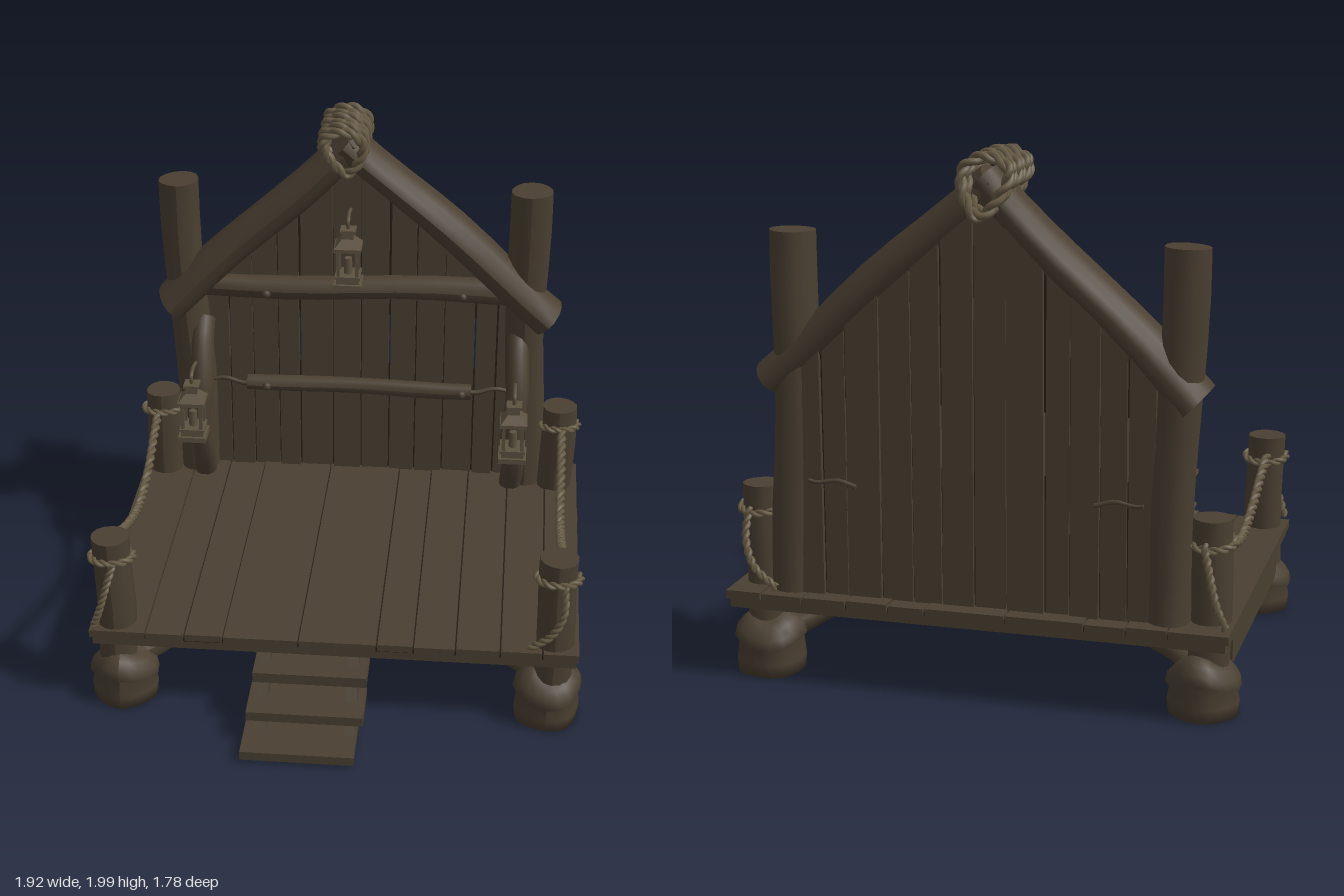
import * as THREE from 'three';

const mat = (name, color) => {
  const m = new THREE.MeshStandardMaterial({ color });
  m.name = name;
  return m;
};
const wood = mat('weathered wood', 0x4a3f31);
const crack = mat('dark seam', 0x261f17);
const ropeMat = mat('rope', 0x665a44);
const metal = mat('lantern metal', 0x5c513f);
const V = (x, y, z) => new THREE.Vector3(x, y, z);

export function createModel() {
  const model = new THREE.Group();
  model.name = 'gabledPlatform';

  const add = (name, geo, material = wood, parent = model) => {
    const mesh = new THREE.Mesh(geo, material);
    mesh.name = name;
    parent.add(mesh);
    return mesh;
  };
  const box = (name, x0, x1, y0, y1, z0, z1, material = wood, parent = model) => {
    const geo = new THREE.BoxGeometry(x1 - x0, y1 - y0, z1 - z0);
    geo.translate((x0 + x1) / 2, (y0 + y1) / 2, (z0 + z1) / 2);
    return add(name, geo, material, parent);
  };

  // Uneven log between two points; the cross-section can be deepened in z
  let seed = 0;
  const log = (name, a, b, ra, rb, { depth = 1, bend = 0.008, lump = 0.05 } = {}) => {
    seed += 1.7;
    const len = a.distanceTo(b);
    const geo = new THREE.CylinderGeometry(rb, ra, len, 14, 8);
    const p = geo.attributes.position;
    for (let i = 0; i < p.count; i++) {
      const x = p.getX(i), y = p.getY(i), z = p.getZ(i);
      const t = y / len;
      const k = 1 + lump * Math.sin(3 * Math.atan2(z, x) + seed + t * 4) + lump * 0.6 * Math.sin(t * 11 + seed);
      p.setXYZ(i, x * k + bend * Math.sin(t * 7 + seed), y, z * k * depth);
    }
    geo.computeVertexNormals();
    const mesh = add(name, geo);
    mesh.position.copy(a).add(b).multiplyScalar(0.5);
    mesh.quaternion.setFromUnitVectors(V(0, 1, 0), b.clone().sub(a).normalize());
    return mesh;
  };

  // Two strands twisted around a path
  const rope = (name, points, { r = 0.011, turns = 8, closed = false, segs = 64 } = {}) => {
    const path = new THREE.CatmullRomCurve3(points, closed);
    const frames = path.computeFrenetFrames(segs, closed);
    const group = new THREE.Group();
    group.name = name;
    for (let s = 0; s < 2; s++) {
      const pts = [];
      for (let i = 0; i <= segs - (closed ? 1 : 0); i++) {
        const ang = (i / segs) * turns * Math.PI * 2 + s * Math.PI;
        pts.push(path.getPointAt(i / segs)
          .addScaledVector(frames.normals[i], Math.cos(ang) * r * 0.8)
          .addScaledVector(frames.binormals[i], Math.sin(ang) * r * 0.8));
      }
      const strand = new THREE.CatmullRomCurve3(pts, closed);
      add('strand', new THREE.TubeGeometry(strand, segs * 2, r, 6, closed), ropeMat, group);
    }
    model.add(group);
  };

  // Deck: under-frame, planks with seams, and side beams
  box('deckFrame', -0.925, 0.925, 0.28, 0.312, -0.85, 0.57);
  box('deckSeams', -0.93, 0.93, 0.312, 0.33, -0.85, 0.57, crack);
  const deckX = [-0.94, -0.72, -0.57, -0.42, -0.13, 0.17, 0.31, 0.47, 0.64, 0.8, 0.94];
  for (let i = 0; i < deckX.length - 1; i++) {
    const dz = 0.006 * Math.sin(i * 2.3);
    box('deckPlank', deckX[i] + 0.003, deckX[i + 1] - 0.003, 0.314, 0.344 + dz * 0.4, -0.86, 0.576 + dz);
  }
  for (const s of [-1, 1]) {
    const c = s * 0.885;
    box('sideBeam', c - 0.025, c + 0.025, 0.15, 0.285, -0.6, 0.42);
  }

  // Corner posts on lumpy stumps, with braces towards the middle
  const stump = [[0, 0], [0.122, 0], [0.126, 0.05], [0.118, 0.105], [0.132, 0.125], [0.126, 0.16], [0.1, 0.19], [0.07, 0.215], [0, 0.22]];
  for (const s of [-1, 1]) {
    for (const [z, dir] of [[0.48, -1], [-0.705, 1]]) {
      const geo = new THREE.LatheGeometry(stump.map(([x, y]) => new THREE.Vector2(x, y)), 18);
      const p = geo.attributes.position;
      for (let i = 0; i < p.count; i++) {
        const a = Math.atan2(p.getZ(i), p.getX(i));
        const k = 1 + 0.04 * Math.sin(a * 4 + s + z * 5);
        const lift = p.getY(i) > 0.08 ? 0.018 * Math.sin(a * 2 + s * 2) : 0;
        p.setXYZ(i, p.getX(i) * k, p.getY(i) + lift, p.getZ(i) * k);
      }
      geo.computeVertexNormals();
      add('stump', geo).position.set(s * 0.825, 0, z);
      log('cornerPost', V(s * 0.84, 0.1, z + 0.01), V(s * 0.847, 0.722, z + 0.01), 0.074, 0.073, { bend: 0.003, lump: 0.025 });
      log('brace', V(s * 0.8, 0.15, z + dir * 0.02), V(s * 0.43, 0.285, z + dir * 0.24), 0.045, 0.035);
    }
  }

  // Steps on two slanted stringers
  const treads = [
    [-0.32, 0.11, 0.012, 0.048, 0.65, 0.89],
    [-0.31, 0.135, 0.105, 0.143, 0.57, 0.77],
    [-0.295, 0.14, 0.208, 0.25, 0.5, 0.665],
  ];
  for (const t of treads) box('stepTread', ...t);
  const side = new THREE.Shape([[0.67, 0], [0.78, 0.015], [0.6, 0.24], [0.56, 0.29], [0.46, 0.29]].map(([z, y]) => new THREE.Vector2(-z, y)));
  for (const x of [-0.28, 0.06]) {
    const geo = new THREE.ExtrudeGeometry(side, { depth: 0.045, bevelEnabled: false });
    geo.rotateY(Math.PI / 2);
    add('stepStringer', geo).position.x = x;
  }

  // Back wall: vertical planks cut to the gable slope
  const gable = x => 1.87 - Math.abs(x + 0.04) * 0.93;
  const wallX = [-0.66, -0.56, -0.46, -0.35, -0.26, -0.12, 0.0, 0.12, 0.23, 0.35, 0.48, 0.57, 0.66];
  for (let i = 0; i < wallX.length - 1; i++) {
    const a = wallX[i] + 0.003, b = wallX[i + 1] - 0.003;
    const w = 0.003 * Math.sin(i * 1.9);
    const pts = [[a, 0.33], [b, 0.33], [b + w, gable(b)]];
    if (a < -0.04 && b > -0.04) pts.push([-0.04, gable(-0.04)]);
    pts.push([a + w, gable(a)]);
    const geo = new THREE.ExtrudeGeometry(new THREE.Shape(pts.map(q => new THREE.Vector2(...q))), { depth: 0.035, bevelEnabled: false });
    add('wallPlank', geo).position.z = -0.79 + 0.006 * Math.sin(i * 2.7);
    // Dark filler in the seam, left open along part of its height
    if (i > 0) {
      const x = wallX[i], open = i % 3 === 1;
      box('wallSeam', x - 0.006, x + 0.006, 0.33, open ? 0.85 : gable(x) - 0.02, -0.776, -0.77, crack);
      if (open) box('wallSeam', x - 0.006, x + 0.006, 1.08, gable(x) - 0.02, -0.776, -0.77, crack);
    }
  }

  // Tall posts and gable logs
  log('tallPost', V(-0.695, 0.33, -0.74), V(-0.745, 1.68, -0.725), 0.082, 0.08, { lump: 0.03 });
  log('tallPost', V(0.705, 0.33, -0.74), V(0.682, 1.68, -0.725), 0.08, 0.085, { lump: 0.03 });
  log('gableLog', V(-0.79, 1.14, -0.71), V(-0.02, 1.885, -0.71), 0.078, 0.07, { depth: 1.5, lump: 0.03 });
  log('gableLog', V(0.785, 1.135, -0.71), V(-0.06, 1.885, -0.705), 0.078, 0.07, { depth: 1.5, lump: 0.03 });

  // Cross rails with bolts and thin end pegs
  log('upperRail', V(-0.65, 1.23, -0.69), V(0.63, 1.245, -0.69), 0.048, 0.052);
  log('lowerRail', V(-0.48, 0.775, -0.7), V(0.47, 0.77, -0.7), 0.033, 0.035, { bend: 0.004 });
  for (const [x, y, z] of [[-0.385, 1.215, -0.642], [0.425, 1.235, -0.642], [-0.395, 0.77, -0.667], [0.43, 0.768, -0.667]]) {
    add('bolt', new THREE.SphereGeometry(0.018, 10, 8)).position.set(x, y, z);
  }
  for (const s of [-1, 1]) {
    log('railPeg', V(s * 0.45, 0.77, -0.7), V(s * 0.64, 0.778, -0.71), 0.011, 0.008);
    log('rearPeg', V(s * 0.44, 0.77, -0.8), V(s * 0.62, 0.78, -0.805), 0.009, 0.007);
  }

  // Bowed branches that carry the side lanterns
  for (const s of [-1, 1]) {
    const x = s * 0.66;
    const path = new THREE.CatmullRomCurve3([V(x, 1.06, -0.72), V(x, 0.98, -0.655), V(x + 0.005, 0.82, -0.58),
      V(x - 0.01, 0.66, -0.555), V(x, 0.5, -0.6), V(x - 0.01, 0.34, -0.68)]);
    add('branch', new THREE.TubeGeometry(path, 24, 0.047, 10));
  }

  // Lanterns: stepped base, open frame, pyramid cap, hook
  const lantern = (x, y, z, reach) => {
    const g = new THREE.Group();
    g.name = 'lantern';
    const block = (name, half, y0, y1) => box(name, -half, half, y0, y1, -half, half, metal, g);
    block('base', 0.058, 0, 0.022);
    block('baseStep', 0.046, 0.022, 0.045);
    block('sill', 0.052, 0.045, 0.056);
    for (const a of [-1, 1]) for (const b of [-1, 1]) {
      box('framePost', a * 0.038 - 0.007, a * 0.038 + 0.007, 0.05, 0.17, b * 0.038 - 0.007, b * 0.038 + 0.007, metal, g);
    }
    add('candle', new THREE.CylinderGeometry(0.016, 0.018, 0.07, 10), metal, g).position.y = 0.088;
    block('cap', 0.056, 0.165, 0.18);
    const roof = new THREE.CylinderGeometry(0.032, 0.075, 0.035, 4).toNonIndexed();
    roof.rotateY(Math.PI / 4);
    roof.computeVertexNormals();
    add('capSlope', roof, metal, g).position.y = 0.197;
    block('chimney', 0.024, 0.21, 0.245);
    block('chimneyLid', 0.032, 0.24, 0.252);
    const hook = new THREE.CatmullRomCurve3([V(0, 0.25, 0), V(0, 0.285, 0.008), V(0, 0.3, -reach * 0.4), V(0, 0.285, -reach)]);
    add('hook', new THREE.TubeGeometry(hook, 16, 0.008, 6), metal, g);
    g.position.set(x, y, z);
    model.add(g);
  };
  lantern(-0.68, 0.63, -0.46, 0.12);
  lantern(0.655, 0.595, -0.46, 0.12);
  lantern(-0.045, 1.275, -0.635, 0.12);

  // Rope coils around the gable peak
  const coil = [[0, 0.1], [0.078, 0.055], [0.07, -0.03], [0.012, -0.105], [-0.06, -0.03], [-0.086, 0.055]];
  for (let i = 0; i < 6; i++) {
    const z = -0.845 + i * 0.054, k = 1 - 0.05 * (i % 2);
    rope('peakCoil', coil.map(([x, y]) => V(-0.06 + x * k, 1.875 + y * k, z + y * 0.25)), { r: 0.013, turns: 5, closed: true, segs: 40 });
  }

  // Side ropes: sagging span, ties around the posts, hanging tails
  for (const s of [-1, 1]) {
    const x = s * 0.86;
    rope('sagRope', [V(x, 0.65, 0.42), V(x, 0.61, 0.29), V(x, 0.53, 0.08), V(x, 0.485, -0.14), V(x, 0.52, -0.35), V(x, 0.59, -0.5), V(x, 0.64, -0.62)], { turns: 14, segs: 112 });
    for (const [z, d] of [[0.49, 1], [-0.695, -1]]) {
      const ring = [];
      for (let i = 0; i < 10; i++) {
        const a = (i / 10) * Math.PI * 2;
        ring.push(V(s * 0.847 + Math.cos(a) * 0.08, 0.635 + 0.012 * Math.sin(a), z + Math.sin(a) * 0.08));
      }
      rope('postTie', ring, { r: 0.009, turns: 6, closed: true, segs: 48 });
      const tx = s > 0 ? [0.87, 0.87, 0.83, 0.75] : [-0.83, -0.86, -0.89, -0.92];
      const out = d > 0 ? [0.08, 0.105, 0.1, 0.075] : [0.08, 0.12, 0.145, 0.13];
      const ty = [0.645, 0.54, 0.44, 0.36];
      rope('ropeTail', tx.map((q, i) => V(q, ty[i], z + d * out[i])), { r: 0.009, turns: 5, segs: 40 });
    }
  }
  return model;
}
